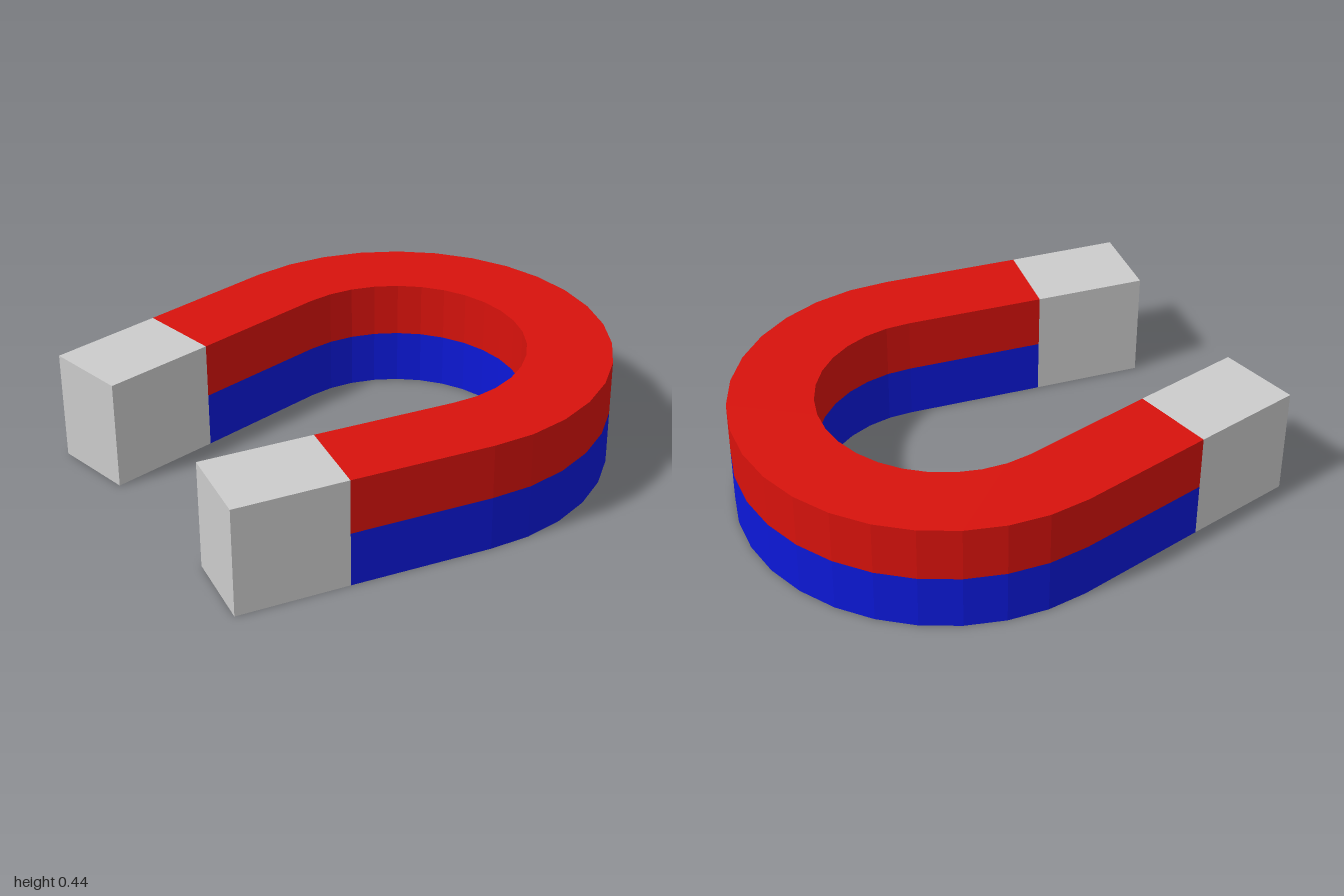
import * as THREE from 'three';

const HEIGHT = 0.445;
const CENTER = [0.155, -0.003];
const OUTER = 0.843, INNER = 0.508;

// Flat [x, z] outline raised from y0 by the given height
function slab(name, points, y0, height, color) {
  const shape = new THREE.Shape(points.map(([x, z]) => new THREE.Vector2(x, -z)));
  const geometry = new THREE.ExtrudeGeometry(shape, { depth: height, bevelEnabled: false });
  geometry.rotateX(-Math.PI / 2);
  const mesh = new THREE.Mesh(geometry, new THREE.MeshStandardMaterial({ color, flatShading: true }));
  mesh.name = name;
  mesh.position.y = y0;
  return mesh;
}

// Faceted bend running from the back arm round to the front arm
function bend(radius, segments = 18, half = Math.PI * 100 / 180) {
  return Array.from({ length: segments + 1 }, (_, i) => {
    const a = -half + 2 * half * i / segments;
    return [CENTER[0] + radius * Math.cos(a), CENTER[1] + radius * Math.sin(a)];
  });
}

export function createModel() {
  const group = new THREE.Group();
  group.name = 'horseshoeMagnet';

  // Corners where each arm meets its metal tip, and the tip ends
  const back = { outer: [-0.547, -0.728], inner: [-0.487, -0.397], endOuter: [-1, -0.645], endInner: [-0.937, -0.316] };
  const front = { outer: [-0.548, 0.735], inner: [-0.491, 0.406], endOuter: [-0.989, 0.666], endInner: [-0.936, 0.335] };

  // Horseshoe body in two coloured layers
  const body = [
    back.outer, ...bend(OUTER), front.outer,
    front.inner, ...bend(INNER).reverse(), back.inner,
  ];
  group.add(slab('lowerBody', body, 0, HEIGHT / 2, 0x0c18d8));
  group.add(slab('upperBody', body, HEIGHT / 2, HEIGHT / 2, 0xd8120c));

  // Bare metal tips, full height
  for (const [name, t] of [['backTip', back], ['frontTip', front]]) {
    group.add(slab(name, [t.outer, t.inner, t.endInner, t.endOuter], 0, HEIGHT, 0xcccccc));
  }
  return group;
}
